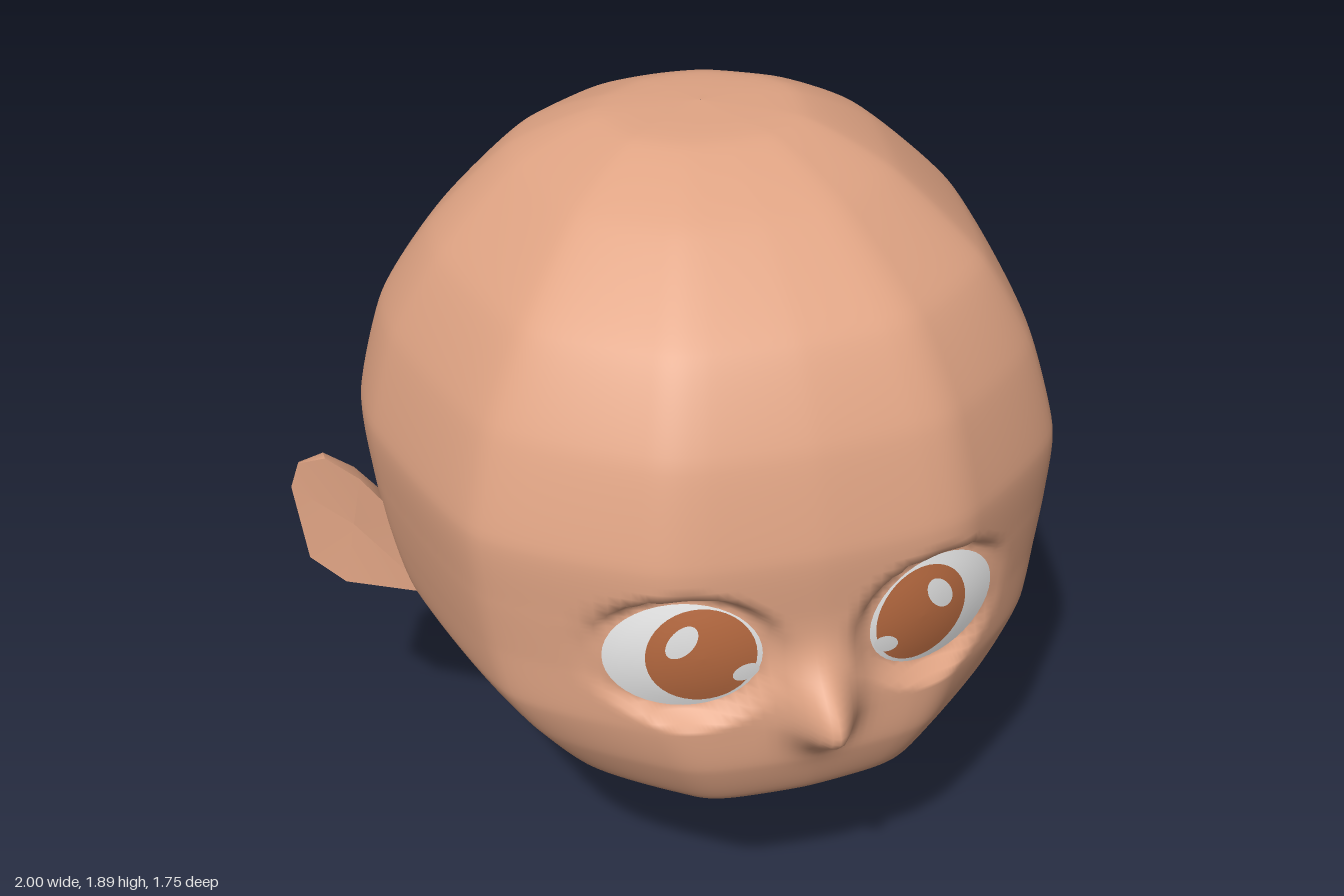
import * as THREE from 'three';
import { toCreasedNormals } from 'three/addons/utils/BufferGeometryUtils.js';

const mat = (name, color) => {
  const m = new THREE.MeshStandardMaterial({ color });
  m.name = name;
  return m;
};

// Skin a list of closed rings of [x, y, z]; side -1 mirrors in x
function loft(rings, side = 1) {
  const n = rings[0].length, pos = [], idx = [];
  for (const ring of rings) for (const [x, y, z] of ring) pos.push(x * side, y, z);
  for (let r = 0; r < rings.length - 1; r++) {
    for (let i = 0; i < n; i++) {
      const a = r * n + i, b = r * n + (i + 1) % n, c = a + n, d = b + n;
      if (side > 0) idx.push(a, b, c, b, d, c);
      else idx.push(a, c, b, b, c, d);
    }
  }
  const g = new THREE.BufferGeometry();
  g.setAttribute('position', new THREE.Float32BufferAttribute(pos, 3));
  g.setIndex(idx);
  g.computeVertexNormals();
  return g;
}

const EYE = { x: 0.3, y: 0.917, rx: 0.172, ry: 0.138 };
const eyeZ = (x, y) => 0.71 - 0.9 * (x - 0.13) ** 2 - 1.2 * (y - EYE.y) ** 2;

// Head and neck sections: height, half width, front z, back z
const SECTIONS = [
  [1.895, 0.001, -0.11, -0.112], [1.878, 0.24, 0.11, -0.32], [1.78, 0.44, 0.335, -0.545],
  [1.6, 0.635, 0.565, -0.7], [1.4, 0.755, 0.683, -0.84], [1.17, 0.82, 0.742, -0.875],
  [1.0, 0.81, 0.74, -0.863], [0.86, 0.79, 0.735, -0.85], [0.72, 0.755, 0.735, -0.785],
  [0.6, 0.67, 0.725, -0.72], [0.47, 0.545, 0.665, -0.56], [0.4, 0.455, 0.5, -0.475],
  [0.33, 0.34, 0.345, -0.38], [0.28, 0.2, 0.17, -0.26], [0.22, 0.135, 0.065, -0.175],
  [0.13, 0.127, 0.05, -0.14], [0.04, 0.07, 0.035, -0.1], [0, 0.001, -0.03, -0.032],
];

// Plan outline of every section, as a share of its half width and half depth
const OUTLINE = [
  [1, -0.05], [0.86, 0.587], [0.49, 0.913], [0.33, 0.975], [0, 1],
  [-0.33, 0.975], [-0.49, 0.913], [-0.86, 0.587], [-1, -0.05], [-0.97, -0.36],
  [-0.773, -0.667], [-0.345, -0.95], [0, -1], [0.345, -0.95], [0.773, -0.667], [0.97, -0.36],
];

// Nose bump and eye sockets pressed into the front of the head
function sculpt(x, y, z) {
  if (z < 0.3) return z;
  const dy = y - 0.755;
  z += 0.14 * Math.exp(-((dy / (dy > 0 ? 0.11 : 0.085)) ** 2) - (x / 0.07) ** 2);
  const ax = Math.abs(x);
  const r = Math.hypot((ax - EYE.x) / EYE.rx, (y - EYE.y) / EYE.ry);
  const w = 1 - THREE.MathUtils.smoothstep(r, 1.04, 1.34);
  return THREE.MathUtils.lerp(z, eyeZ(ax, y) - 0.014, w);
}

function headGeometry() {
  const curve = (list, closed, f) => new THREE.CatmullRomCurve3(list.map(f), closed, 'catmullrom', 0.33);
  const front = curve(SECTIONS, false, ([y, w, zf]) => new THREE.Vector3(w, y, zf));
  const back = curve(SECTIONS, false, ([y, w, , zb]) => new THREE.Vector3(w, y, zb));
  const outline = curve(OUTLINE, true, ([x, z]) => new THREE.Vector3(x, 0, z));
  const rows = (SECTIONS.length - 1) * 9, segs = OUTLINE.length * 12, rings = [];
  const plan = Array.from({ length: segs }, (_, i) => outline.getPoint(i / segs));
  for (let r = 0; r <= rows; r++) {
    const f = front.getPoint(r / rows), b = back.getPoint(r / rows);
    const zc = (f.z + b.z) / 2, depth = (f.z - b.z) / 2;
    rings.push(plan.map((p) => {
      const x = f.x * p.x;
      return [x, f.y, sculpt(x, f.y, zc + depth * p.z)];
    }));
  }
  return loft(rings);
}

// Oval patch lying on the curved eye surface, lifted by a small amount
function eyePatch(side, cx, cy, rx, ry, lift, tilt = 0) {
  const rings = [];
  for (let k = 6; k >= 0; k--) {
    const ring = [], s = Math.max(k / 6, 0.001);
    for (let i = 0; i < 40; i++) {
      const t = (i / 40) * Math.PI * 2;
      const u = s * rx * Math.cos(t), v = s * ry * Math.sin(t);
      const x = cx + u * Math.cos(tilt) - v * Math.sin(tilt);
      const y = cy + u * Math.sin(tilt) + v * Math.cos(tilt);
      ring.push([x, y, eyeZ(x, y) + lift]);
    }
    rings.push(ring);
  }
  return loft(rings, side);
}

// Ear: flat front swept backwards, rounded back that thickens to the base
const EAR = [
  [0.72, 0.7], [0.77, 0.9], [0.85, 0.985], [0.92, 1.02],
  [0.98, 0.985], [1, 0.91], [0.975, 0.71], [0.9, 0.665],
];
function earGeometry(side) {
  const cx = 0.87, cy = 0.84;
  const ring = (scale, thick) => EAR.map(([px, py]) => {
    const x = cx + (px - cx) * scale, y = cy + (py - cy) * scale;
    return [x, y, -0.11 - (x - 0.76) * 0.93 - thick * (0.015 + 0.8 * (1 - x))];
  });
  const rings = [ring(0.001, 0.1), ring(1, 0), ring(0.97, 0.5), ring(0.75, 0.95), ring(0.001, 1.05)];
  return toCreasedNormals(loft(rings, side), 0.9);
}

export function createModel() {
  const skin = mat('skin', 0xe0a484);
  const white = mat('eye white', 0xe6e6e6);
  const brown = mat('iris brown', 0xb4683f);
  const shine = mat('eye shine', 0xe0e0e0);

  const model = new THREE.Group();
  model.name = 'dollHead';
  const add = (parent, name, geometry, material) => {
    const mesh = new THREE.Mesh(geometry, material);
    mesh.name = name;
    parent.add(mesh);
  };

  add(model, 'headAndNeck', headGeometry(), skin);

  for (const side of [1, -1]) {
    const label = side > 0 ? 'left' : 'right';
    add(model, label + 'Ear', earGeometry(side), skin);

    const eye = new THREE.Group();
    eye.name = label + 'Eye';
    add(eye, 'eyeball', eyePatch(side, EYE.x, EYE.y, EYE.rx, EYE.ry, 0), white);
    add(eye, 'iris', eyePatch(side, 0.264, 0.922, 0.122, 0.122, 0.004), brown);
    add(eye, 'largeShine', eyePatch(side, 0.309, 0.967, 0.027, 0.047, 0.007, 0.65), shine);
    add(eye, 'smallShine', eyePatch(side, 0.168, 0.876, 0.032, 0.022, 0.007, -0.4), shine);
    model.add(eye);
  }
  return model;
}
